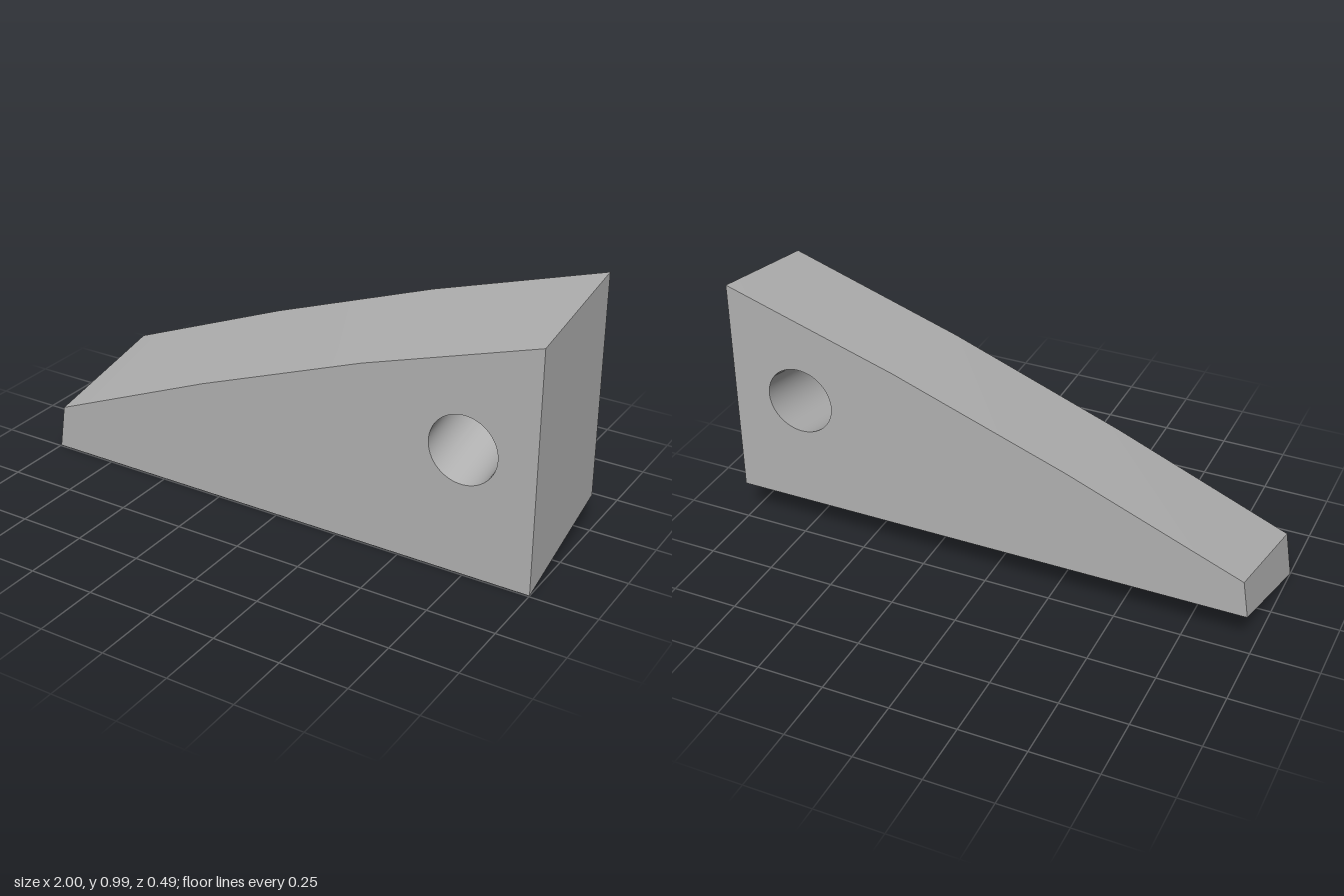
import * as THREE from 'three';
import { toCreasedNormals } from 'three/addons/utils/BufferGeometryUtils.js';

const WIDTH = 0.49;
// Matching outline corners of the front and back faces: base, then the curved top.
const FRONT = [[-1, 0], [1, 0], [1, 0.905], [0.342, 0.69], [-0.315, 0.443], [-0.973, 0.171]];
const BACK = [[-0.979, 0.147], [1, 0.147], [1, 0.99], [0.348, 0.784], [-0.305, 0.549], [-0.957, 0.289]];
const HOLE = { x: 0.731, y: 0.472, r: 0.128, rise: 0.107 };

export function createModel() {
  const group = new THREE.Group();
  group.name = 'wedge';
  const grey = new THREE.MeshStandardMaterial({ color: 0xb2b2b2 });
  grey.name = 'grey';

  // Front face with a round through-hole, extruded across the width
  const shape = new THREE.Shape(FRONT.map(([x, y]) => new THREE.Vector2(x, y)));
  const hole = new THREE.Path();
  hole.absarc(HOLE.x, HOLE.y, HOLE.r, 0, Math.PI * 2, true);
  shape.holes.push(hole);
  const geometry = new THREE.ExtrudeGeometry(shape, { depth: WIDTH, bevelEnabled: false, curveSegments: 32 });
  geometry.translate(0, 0, -WIDTH / 2);

  // Slant the body: move the back outline and the back rim of the hole
  const pos = geometry.attributes.position;
  for (let i = 0; i < pos.count; i++) {
    if (pos.getZ(i) > 0) continue;
    const x = pos.getX(i), y = pos.getY(i);
    const corner = FRONT.findIndex(([fx, fy]) => Math.hypot(fx - x, fy - y) < 1e-4);
    if (corner >= 0) pos.setXY(i, ...BACK[corner]);
    else pos.setY(i, y + HOLE.rise);
  }

  const body = new THREE.Mesh(toCreasedNormals(geometry, 0.5), grey);
  body.name = 'wedgeBody';
  group.add(body);
  return group;
}
